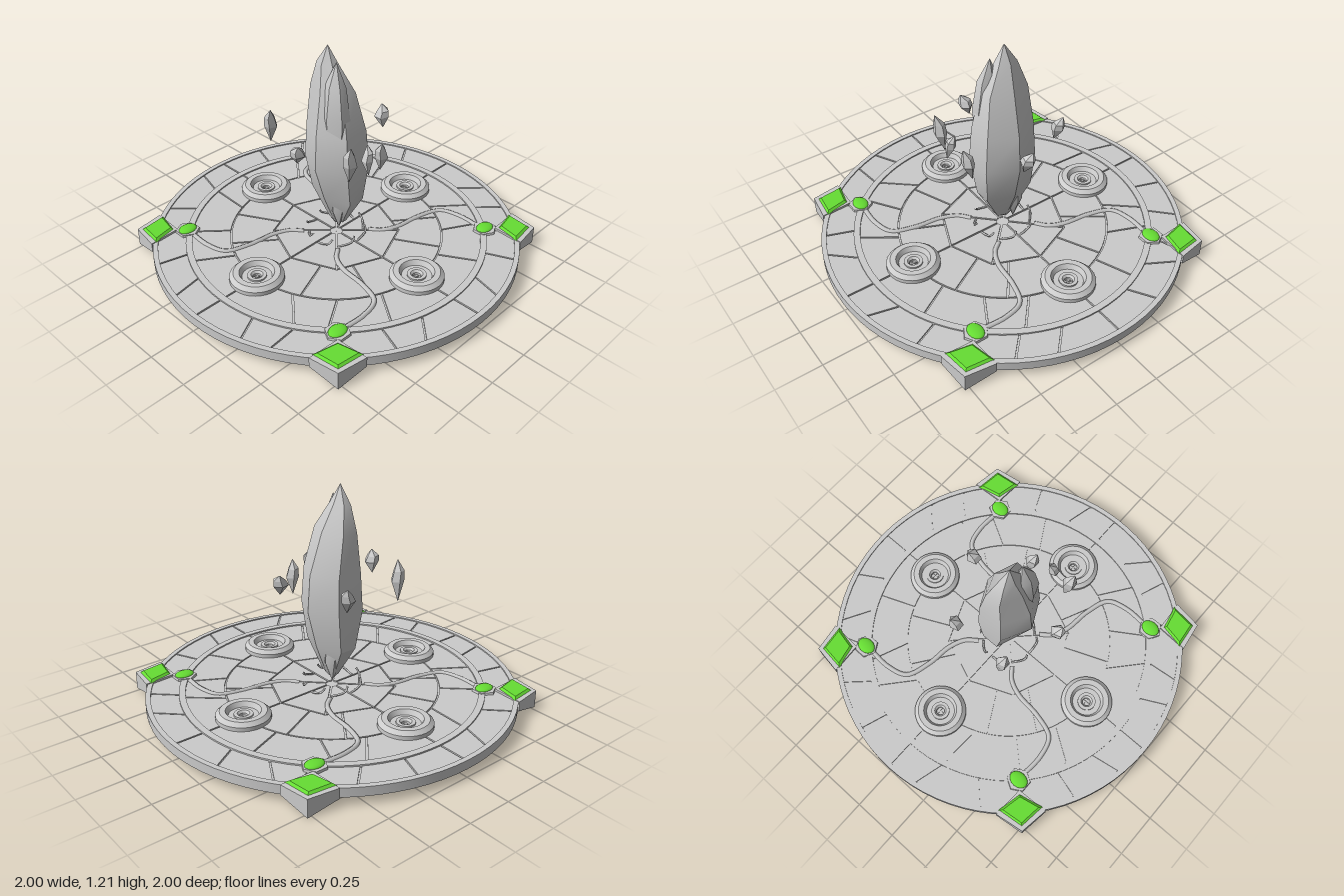
import * as THREE from 'three';
import { mergeGeometries, toCreasedNormals } from 'three/addons/utils/BufferGeometryUtils.js';
import { ConvexGeometry } from 'three/addons/geometries/ConvexGeometry.js';

const V2 = (x, y) => new THREE.Vector2(x, y);
const V3 = (x, y, z) => new THREE.Vector3(x, y, z);

export function createModel() {
  const model = new THREE.Group();
  const stone = new THREE.MeshStandardMaterial({ color: 0xcccccc });
  const green = new THREE.MeshStandardMaterial({ color: 0x66dd33 });

  const add = (name, geometry, material = stone, parent = model) => {
    const mesh = new THREE.Mesh(geometry, material);
    mesh.name = name;
    parent.add(mesh);
    return mesh;
  };

  // Turned solid from a closed profile of [radius, height] points
  const turned = (profile, segments) => toCreasedNormals(
    new THREE.LatheGeometry(profile.map(p => V2(...p)), segments), 0.5);
  const ring = (r0, r1, y0, y1) =>
    turned([[r0, y0], [r1, y0], [r1, y1], [r0, y1], [r0, y0]], 80);

  // Faceted crystal from rows of [y, centreX, centreZ, radiusX, radiusZ], top first
  const crystal = (rows, sides = 6, crease = 0.45) => {
    const g = new THREE.CylinderGeometry(1, 1, 1, sides, rows.length - 1, true);
    const p = g.attributes.position;
    for (let i = 0; i < p.count; i++) {
      const [y, cx, cz, rx, rz] = rows[Math.floor(i / (sides + 1))];
      const a = (i % (sides + 1)) / sides * Math.PI * 2;
      p.setXYZ(i, cx + rx * Math.sin(a + Math.PI / 2), y, cz + rz * Math.cos(a + Math.PI / 2));
    }
    return toCreasedNormals(g, crease);
  };

  // Disc: rim, backing slab and raised ring that also shows underneath
  add('rim', ring(0.973, 1, 0.045, 0.095));
  add('floorSlab', ring(0.001, 0.98, 0.06, 0.08));
  add('trimRing', ring(0.79, 0.825, 0.03, 0.096));

  // Paving stones in bands, with narrow gaps and slanted joints
  let seed = 7;
  const random = () => (seed = (seed * 16807) % 2147483647) / 2147483647 - 0.5;
  const octagon = a => {
    const s = Math.PI / 4;
    const t = ((a % s) + s) % s - s / 2;
    return 0.345 * Math.cos(s / 2) / Math.cos(t);
  };
  const circle = r => () => r;
  const bands = [
    [circle(0.03), octagon, 8, 0],
    [octagon, circle(0.58), 12, 0.12],
    [circle(0.58), circle(0.795), 16, 0.14],
    [circle(0.82), circle(0.978), 24, 0.1],
  ];
  const tiles = [];
  for (const [inner, outer, count, slant] of bands) {
    const joints = [];
    for (let i = 0; i < count; i++) {
      const a = i / count * Math.PI * 2;
      const onAxis = i % (count / 4) === 0;
      joints.push([a, a + (onAxis ? 0 : slant * 2 * random())]);
    }
    joints.push(joints[0].map(a => a + Math.PI * 2));
    for (let i = 0; i < count; i++) {
      const points = [];
      const edge = (radius, k, inset) => {
        const arc = [];
        for (let s = 0; s <= 6; s++) {
          const gap = 0.0045 / radius(0);
          const a = THREE.MathUtils.lerp(joints[i][k] + gap, joints[i + 1][k] - gap, s / 6);
          const r = radius(a) + inset;
          arc.push(V2(r * Math.cos(a), r * Math.sin(a)));
        }
        return arc;
      };
      points.push(...edge(inner, 0, 0.004), ...edge(outer, 1, -0.004).reverse());
      const g = new THREE.ExtrudeGeometry(new THREE.Shape(points), { depth: 0.036, bevelEnabled: false });
      g.rotateX(Math.PI / 2).translate(0, 0.088, 0);
      tiles.push(g);
    }
  }
  add('pavingStones', mergeGeometries(tiles));

  // Parts repeated at each quarter turn
  const dishProfile = [[0.022, 0.043], [0.143, 0.043], [0.143, 0.11], [0.122, 0.13], [0.092, 0.13],
    [0.078, 0.103], [0.05, 0.103], [0.05, 0.112], [0.032, 0.112], [0.022, 0.1], [0.022, 0.043]];
  const dish = turned(dishProfile, 32);
  const block = new ConvexGeometry([
    [0.61, 0.8, 0.045], [0.775, 0.775, 0], [0.8, 0.61, 0.045], [0.62, 0.62, 0.045],
  ].flatMap(([x, z, y]) => [V3(x, y, z), V3(x, 0.1, z)]));
  const gemOutline = [[0.605, 0.775], [0.757, 0.757], [0.775, 0.605], [0.635, 0.635]];
  const cornerGem = new ConvexGeometry(gemOutline.flatMap(([x, z]) => [
    V3(x, 0.098, z),
    V3(0.695 + (x - 0.695) * 0.8, 0.111, 0.695 + (z - 0.695) * 0.8),
  ]));
  const socket = toCreasedNormals(new THREE.CylinderGeometry(0.065, 0.078, 0.07, 6), 0.5);
  const vinePath = new THREE.CatmullRomCurve3([
    [0.58, 0.54], [0.585, 0.4], [0.55, 0.29], [0.42, 0.24], [0.27, 0.22], [0.18, 0.18], [0.13, 0.12],
  ].map(([x, z]) => V3(x, 0.087, z)));
  const vine = new THREE.TubeGeometry(vinePath, 48, 0.014, 6);
  const clawPath = new THREE.CatmullRomCurve3([
    V3(0.11, 0.088, 0.1), V3(0.14, 0.1, 0.07), V3(0.16, 0.115, 0.04), V3(0.155, 0.14, 0.02),
  ]);
  const claw = new THREE.TubeGeometry(clawPath, 10, 0.006, 5);

  for (let q = 0; q < 4; q++) {
    const quarter = new THREE.Group();
    quarter.name = 'quarter';
    quarter.rotation.y = q * Math.PI / 2;
    model.add(quarter);
    add('dishPedestal', dish, stone, quarter).position.x = 0.58;
    add('cornerBlock', block, stone, quarter);
    add('cornerGem', cornerGem, green, quarter);
    add('gemSocket', socket, stone, quarter).position.set(0.58, 0.066, 0.58);
    add('vine', vine, stone, quarter);
    add('claw', claw, stone, quarter);
    add('claw', claw, stone, quarter).rotation.y = Math.PI / 4;
  }

  // Oval gems on the sockets
  for (const x of [-0.58, 0.58]) for (const z of [-0.58, 0.58]) {
    const gem = add('ovalGem', new THREE.SphereGeometry(1, 16, 10), green);
    gem.scale.set(0.054, 0.015, 0.041);
    gem.position.set(x, 0.102, z);
  }

  // Hovering crystal: main body, lower second peak and split base
  add('mainCrystal', crystal([
    [1.21, -0.03, -0.03, 0.001, 0.001],
    [1.11, -0.025, -0.035, 0.045, 0.065],
    [0.97, -0.01, -0.015, 0.09, 0.135],
    [0.75, 0, 0, 0.145, 0.168],
    [0.55, 0, 0.003, 0.158, 0.182],
    [0.34, 0.01, -0.003, 0.098, 0.165],
    [0.17, 0.01, 0, 0.03, 0.06],
    [0.13, 0.01, -0.02, 0.001, 0.001],
  ]));
  add('secondPeak', crystal([
    [1.145, -0.045, 0.045, 0.001, 0.001],
    [1.02, -0.055, 0.05, 0.045, 0.06],
    [0.85, -0.06, 0.05, 0.06, 0.09],
    [0.6, -0.05, 0.04, 0.05, 0.08],
  ]));
  for (const [x, z] of [[-0.01, 0.03], [0.035, -0.045]]) {
    add('basePoint', crystal([
      [0.4, x * 0.5, z, 0.06, 0.07],
      [0.25, x, z, 0.045, 0.05],
      [0.135, x, z, 0.001, 0.001],
    ]));
  }

  // Floating shards: x, z, bottom, top, radius
  const shards = [
    [-0.2, -0.28, 0.62, 0.83, 0.038], [0.12, -0.27, 0.62, 0.76, 0.04],
    [-0.3, 0.03, 0.66, 0.78, 0.043], [0.29, 0.055, 0.66, 0.78, 0.043],
    [-0.175, 0.27, 0.6, 0.82, 0.04], [-0.065, 0.28, 0.62, 0.77, 0.032],
    [0.065, 0.26, 0.56, 0.74, 0.038],
  ];
  shards.forEach(([x, z, y0, y1, r], i) => {
    const lean = (i % 2 ? 1 : -1) * 0.018;
    const h = y1 - y0;
    add('floatingShard', crystal([
      [y1, x + lean, z - lean, 0.001, 0.001],
      [y0 + h * 0.75, x + lean * 0.5, z, r * 0.8, r * 0.75],
      [y0 + h * 0.5, x, z, r, r * 0.9],
      [y0, x - lean * 0.5, z + lean, 0.001, 0.001],
    ], 5, 0.1));
  });

  return model;
}
